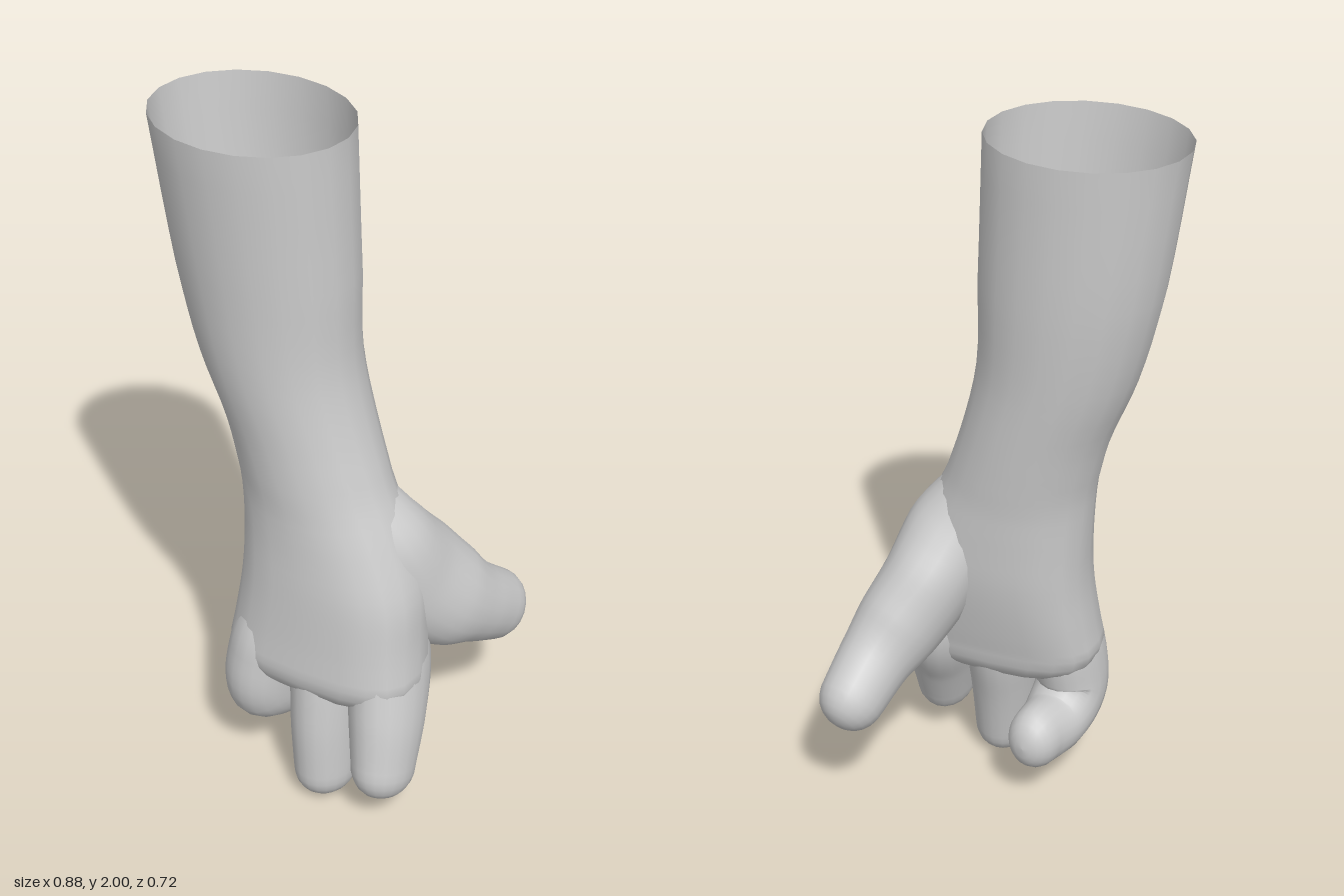
import * as THREE from 'three';

const SIDES = 20;
const signedPow = (v, e) => Math.sign(v) * Math.pow(Math.abs(v), e);

// Skin cross-sections [x, y, z, radiusSide, radiusDepth, roundness] along a smooth path.
// roundness 1 is an ellipse, less is boxier; flat: sections stay horizontal; tip: length of the rounded end.
function limb(name, sections, { steps = 20, tip = 0.08, flat = false } = {}) {
  const path = new THREE.CatmullRomCurve3(sections.map(s => new THREE.Vector3(s[0], s[1], s[2])));
  const shape = new THREE.CatmullRomCurve3(sections.map(s => new THREE.Vector3(s[3], s[4], s[5] ?? 1)));
  const positions = [], index = [];

  const addRing = (centre, tangent, size, scale = 1) => {
    const side = new THREE.Vector3(1, 0, 0).addScaledVector(tangent, -tangent.x).normalize();
    const depth = new THREE.Vector3().crossVectors(tangent, side);
    for (let j = 0; j < SIDES; j++) {
      const a = (j / SIDES) * Math.PI * 2;
      const p = centre.clone()
        .addScaledVector(side, size.x * scale * signedPow(Math.cos(a), size.z))
        .addScaledVector(depth, size.y * scale * signedPow(Math.sin(a), size.z));
      positions.push(p.x, p.y, p.z);
    }
  };

  const tangentAt = t => flat ? new THREE.Vector3(0, -1, 0) : path.getTangent(t);
  for (let i = 0; i <= steps; i++) {
    const t = i / steps;
    addRing(path.getPoint(t), tangentAt(t), shape.getPoint(t));
  }
  // Rounded, slightly blunt end
  const end = path.getPoint(1), dir = tangentAt(1);
  for (let k = 1; k <= 6; k++) {
    const a = (k / 6) * Math.PI / 2;
    const scale = Math.pow(Math.max(Math.cos(a), 0.001), 0.85);
    addRing(end.clone().addScaledVector(dir, tip * Math.sin(a)), dir, shape.getPoint(1), scale);
  }

  const rings = positions.length / 3 / SIDES;
  for (let i = 0; i < rings - 1; i++) {
    for (let j = 0; j < SIDES; j++) {
      const a = i * SIDES + j, b = i * SIDES + (j + 1) % SIDES;
      index.push(a, b, a + SIDES, b, b + SIDES, a + SIDES);
    }
  }
  const geometry = new THREE.BufferGeometry();
  geometry.setAttribute('position', new THREE.Float32BufferAttribute(positions, 3));
  geometry.setIndex(index);
  geometry.computeVertexNormals();
  const mesh = new THREE.Mesh(geometry, new THREE.MeshStandardMaterial({ color: 0xcccccc, side: THREE.DoubleSide }));
  mesh.name = name;
  return mesh;
}

export function createModel() {
  const group = new THREE.Group();
  group.name = 'forearmAndHand';

  // Open forearm running down through the wrist into a boxier palm
  group.add(limb('forearmAndPalm', [
    [-0.170, 2.00, 0.135, 0.270, 0.225],
    [-0.138, 1.60, 0.123, 0.248, 0.208],
    [-0.105, 1.35, 0.122, 0.220, 0.193],
    [-0.045, 1.15, 0.120, 0.205, 0.180],
    [-0.003, 1.00, 0.123, 0.212, 0.173],
    [0.036, 0.85, 0.128, 0.238, 0.170, 0.92],
    [0.063, 0.70, 0.138, 0.260, 0.170, 0.82],
    [0.062, 0.55, 0.155, 0.272, 0.160, 0.75],
    [0.060, 0.45, 0.170, 0.284, 0.152, 0.72],
  ], { steps: 32, tip: 0.12, flat: true }));

  // Thumb, growing gradually out of the palm and spreading backward
  group.add(limb('thumb', [
    [0.120, 0.96, 0.125, 0.080, 0.100],
    [0.180, 0.81, 0.080, 0.130, 0.135],
    [0.228, 0.67, 0.010, 0.128, 0.163],
    [0.285, 0.56, -0.080, 0.120, 0.150],
    [0.322, 0.49, -0.165, 0.102, 0.118],
    [0.345, 0.425, -0.258, 0.092, 0.105],
  ], { steps: 24, tip: 0.1 }));

  // Two forward fingers
  group.add(limb('indexFinger', [
    [0.200, 0.66, 0.130, 0.080, 0.100],
    [0.236, 0.46, 0.145, 0.104, 0.148],
    [0.262, 0.31, 0.198, 0.100, 0.126],
    [0.276, 0.185, 0.240, 0.087, 0.106],
  ], { tip: 0.1 }));
  group.add(limb('middleFinger', [
    [0.065, 0.62, 0.140, 0.085, 0.100],
    [0.070, 0.43, 0.170, 0.102, 0.136],
    [0.076, 0.25, 0.203, 0.095, 0.122],
    [0.083, 0.09, 0.222, 0.086, 0.104],
  ], { tip: 0.09 }));

  // Outer finger, curled back under the palm
  group.add(limb('curledFinger', [
    [-0.080, 0.62, 0.160, 0.085, 0.100],
    [-0.118, 0.43, 0.190, 0.102, 0.128],
    [-0.132, 0.29, 0.192, 0.102, 0.122],
    [-0.118, 0.225, 0.100, 0.096, 0.096],
    [-0.100, 0.228, -0.005, 0.078, 0.095],
  ], { steps: 26, tip: 0.085 }));

  return group;
}
